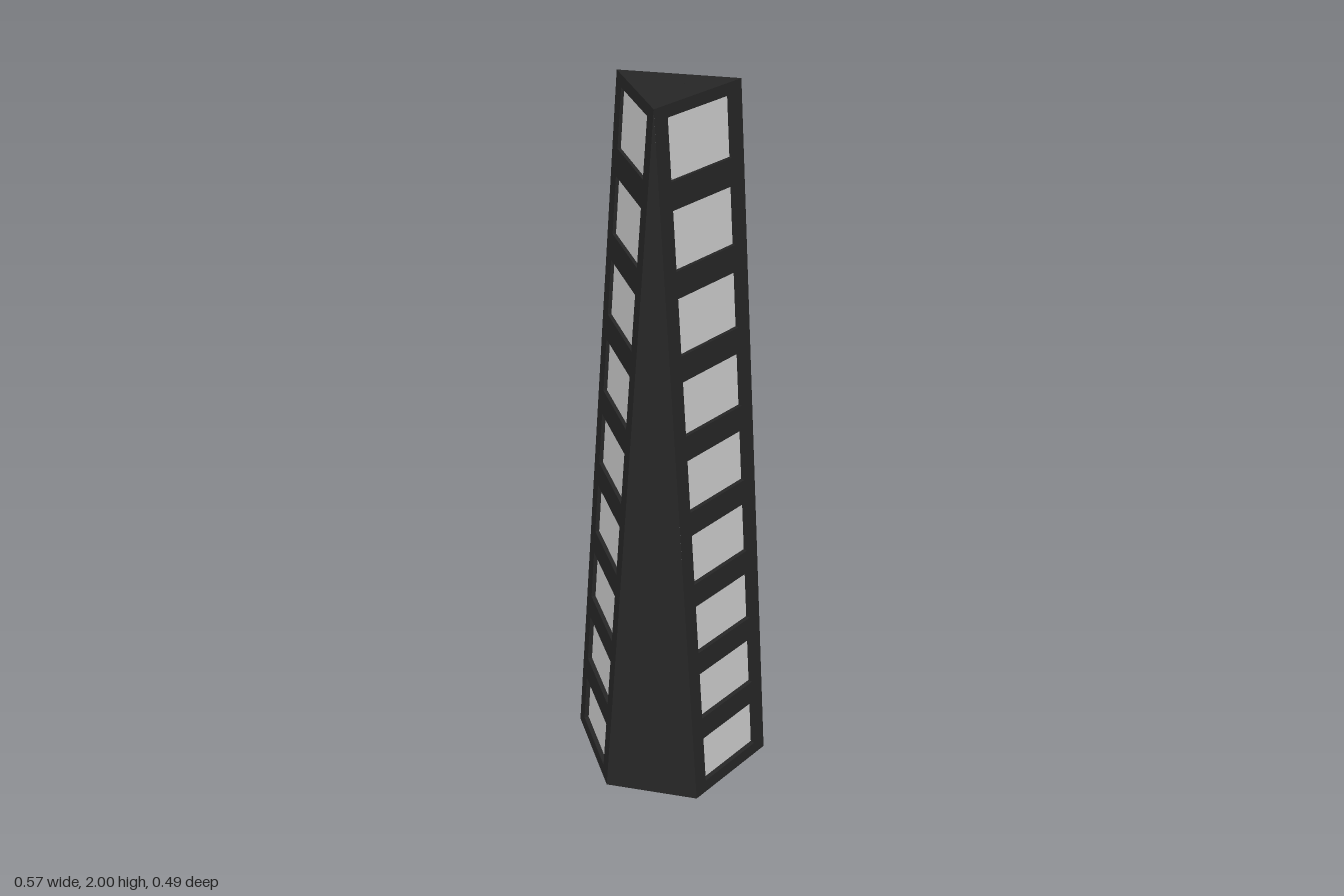
import * as THREE from 'three';

const H = 2, Z0 = 0.24, Z1 = 0.088, X0 = 0.15, X1 = 0.1524; // face distance and half width, bottom and top
const WINDOWS = 9, WIN_X = 0.108, WIN_H = 0.152, WIN_Y = 0.038, STEP = 0.2225;

const dark = new THREE.MeshStandardMaterial({ color: 0x262626, flatShading: true });
const light = new THREE.MeshStandardMaterial({ color: 0xcccccc, flatShading: true });

// Leans a geometry onto the sloping face; vertices at z = -1 go to the back of the recess
function lean(geo) {
  const p = geo.attributes.position;
  for (let i = 0; i < p.count; i++) {
    const y = p.getY(i), inner = p.getZ(i) < -0.5;
    const depth = inner ? 0.013 - 0.0025 * y : 0;
    if (inner && Math.abs(p.getX(i)) > 0.14) p.setX(i, p.getX(i) * 0.85);
    p.setZ(i, Z0 + (Z1 - Z0) * y / H - depth);
  }
  geo.computeVertexNormals();
  return geo;
}

function mesh(name, geo, material) {
  const m = new THREE.Mesh(geo, material);
  m.name = name;
  return m;
}

// Face frame with a column of window openings
function frameGeometry() {
  const shape = new THREE.Shape([[-X0, 0], [X0, 0], [X1, H], [-X1, H]].map(p => new THREE.Vector2(...p)));
  for (let i = 0; i < WINDOWS; i++) {
    const y = WIN_Y + i * STEP, t = y + WIN_H;
    shape.holes.push(new THREE.Path(
      [[-WIN_X, y], [-WIN_X, t], [WIN_X, t], [WIN_X, y]].map(p => new THREE.Vector2(...p))));
  }
  const geo = new THREE.ExtrudeGeometry(shape, { depth: 1, bevelEnabled: false });
  return lean(geo.translate(0, 0, -1));
}

// Triangular corner face plus this side's share of the top and the base
function cornerGeometry() {
  const a = new THREE.Vector3(X0, 0, Z0), left = new THREE.Vector3(-X0, 0, Z0);
  const b = left.clone().applyAxisAngle(new THREE.Vector3(0, 1, 0), Math.PI * 2 / 3);
  const apex = new THREE.Vector3(X1, H, Z1), apexLeft = new THREE.Vector3(-X1, H, Z1);
  const top = new THREE.Vector3(0, H, 0), base = new THREE.Vector3();
  const geo = new THREE.BufferGeometry().setFromPoints([
    a, b, apex,
    apexLeft, apex, top,
    a, left, base,
    b, a, base,
  ]);
  geo.computeVertexNormals();
  return geo;
}

export function createModel() {
  const tower = new THREE.Group();
  tower.name = 'tower';
  const frame = frameGeometry(), corner = cornerGeometry();

  // Three identical sides around the axis
  for (let s = 0; s < 3; s++) {
    const side = new THREE.Group();
    side.name = 'side';
    side.add(mesh('windowFrame', frame, dark), mesh('cornerFace', corner, dark));
    for (let i = 0; i < WINDOWS; i++) {
      const pane = new THREE.PlaneGeometry(WIN_X * 2, WIN_H);
      pane.translate(0, WIN_Y + i * STEP + WIN_H / 2, -1);
      side.add(mesh('windowPane', lean(pane), light));
    }
    side.rotation.y = s * Math.PI * 2 / 3;
    tower.add(side);
  }
  tower.position.z = 0.005;

  const model = new THREE.Group();
  model.add(tower);
  return model;
}
